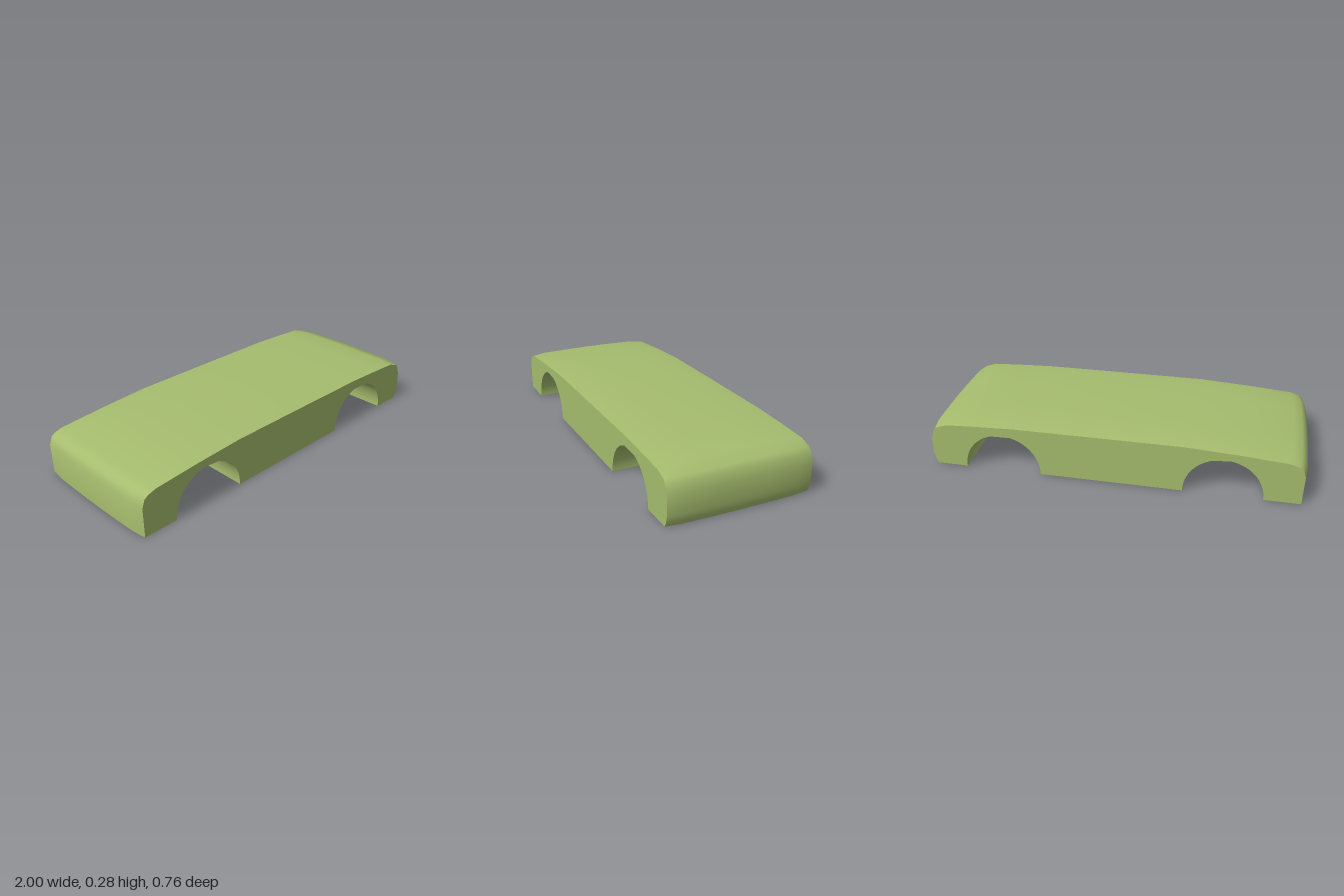
import * as THREE from 'three';
import { toCreasedNormals } from 'three/addons/utils/BufferGeometryUtils.js';

const ARCHES = [-0.585, 0.59]; // wheel arch centres along x
const ARCH_R = 0.207;
const ARCH_Y = 0.006;

// Cross-sections over the width: z, lowering of the roofline, inset of the ends
const SECTIONS = [
  [-0.38, 0.014, 0.016], [-0.3, 0.004, 0.005], [-0.15, 0.002, 0.001], [0, 0, 0],
  [0.15, 0.002, 0.001], [0.3, 0.004, 0.005], [0.38, 0.014, 0.016],
];

export function createModel() {
  const group = new THREE.Group();
  group.name = 'carBody';
  const green = new THREE.MeshStandardMaterial({ color: 0xa6bd6e });
  green.name = 'olive green';

  // Side profile: underside with two arches, then the ends and the gently bowed top
  const profile = new THREE.Shape();
  profile.moveTo(-0.997, 0);
  for (const cx of ARCHES) {
    profile.lineTo(cx - ARCH_R, 0);
    profile.absarc(cx, ARCH_Y, ARCH_R, Math.PI, 0, true);
    profile.lineTo(cx + ARCH_R, 0);
  }
  const outline = [
    [0.98, 0], [0.992, 0.025], [1, 0.06], [1, 0.165], [0.985, 0.21], [0.968, 0.236], [0.89, 0.258],
    [0.74, 0.267], [0.53, 0.276], [0.1, 0.278], [-0.38, 0.279], [-0.65, 0.264],
    [-0.92, 0.244], [-0.965, 0.23], [-0.985, 0.215], [-1, 0.17],
  ];
  for (const [x, y] of outline) profile.lineTo(x, y);
  profile.closePath();

  const steps = SECTIONS.length - 1;
  const body = new THREE.ExtrudeGeometry(profile, {
    depth: steps, steps, bevelEnabled: false, curveSegments: 24,
  });

  // Crown the top and bow the ends, leaving the arches straight
  const pos = body.attributes.position;
  for (let i = 0; i < pos.count; i++) {
    let x = pos.getX(i);
    let y = pos.getY(i);
    const [z, drop, inset] = SECTIONS[Math.round(pos.getZ(i))];
    const inArch = ARCHES.some((cx) => Math.hypot(x - cx, y - ARCH_Y) < ARCH_R + 0.01);
    if (!inArch) {
      y *= 1 - drop / 0.279;
      if (Math.abs(x) > 0.9) x -= Math.sign(x) * inset;
    }
    pos.setXYZ(i, x, y, z);
  }

  const mesh = new THREE.Mesh(toCreasedNormals(body, 0.75), green);
  mesh.name = 'bodyShell';
  group.add(mesh);
  return group;
}
